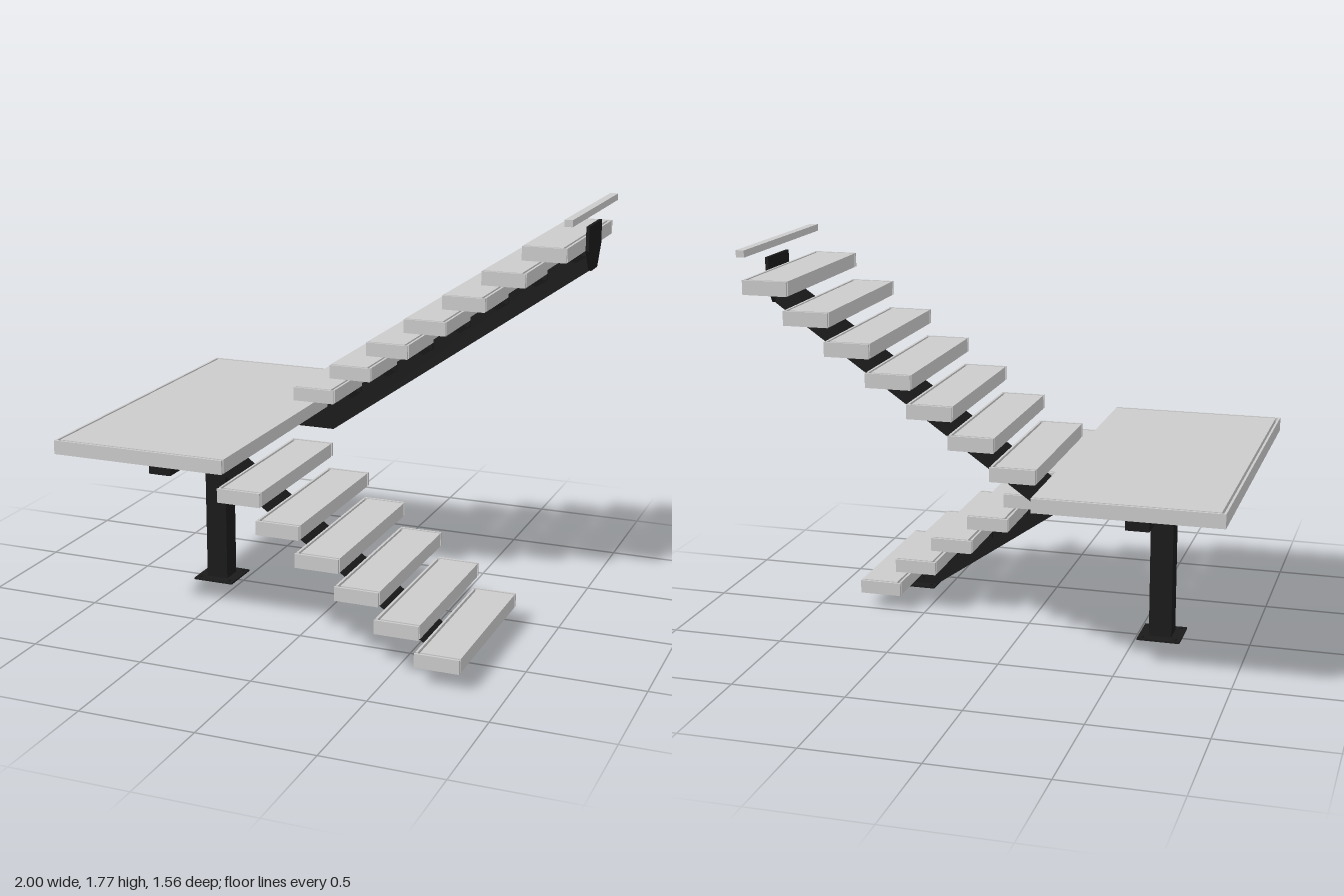
import * as THREE from 'three';

const board = new THREE.MeshStandardMaterial({ color: 0xcccccc });
const steel = new THREE.MeshStandardMaterial({ color: 0x1a1a1a });
const RISE = 0.117, GOING = 0.1715, THICK = 0.06;

// Box given by its minimum and maximum corners
function box(parent, name, mat, [x0, y0, z0], [x1, y1, z1]) {
  const m = new THREE.Mesh(new THREE.BoxGeometry(x1 - x0, y1 - y0, z1 - z0), mat);
  m.position.set((x0 + x1) / 2, (y0 + y1) / 2, (z0 + z1) / 2);
  m.name = name;
  parent.add(m);
  return m;
}

// Side outline extruded to a width centred on z
function profile(parent, name, points, width, z) {
  const shape = new THREE.Shape(points.map(([x, y]) => new THREE.Vector2(x, y)));
  const geo = new THREE.ExtrudeGeometry(shape, { depth: width, bevelEnabled: false });
  geo.translate(0, 0, -width / 2);
  const m = new THREE.Mesh(geo, steel);
  m.position.z = z;
  m.name = name;
  parent.add(m);
  return m;
}

// Tread with separate edge trims; dir points from the nosing to the back
function tread(parent, front, y, z0, dir) {
  const g = new THREE.Group();
  g.name = 'tread';
  const slab = (name, a, b, za, zb) => box(g, name, board,
    [Math.min(front + dir * a, front + dir * b), y, za],
    [Math.max(front + dir * a, front + dir * b), y + THICK, zb]);
  slab('treadBoard', 0, 0.17, z0 + 0.02, z0 + 0.76);
  slab('backTrim', 0.18, 0.19, z0 + 0.02, z0 + 0.76);
  slab('endTrim', 0, 0.19, z0, z0 + 0.01);
  slab('endTrim', 0, 0.19, z0 + 0.77, z0 + 0.78);
  parent.add(g);
}

// Wedge under a tread, narrowing down to the beam
function bracket(parent, front, y, z, dir) {
  const pts = [[0.07, 0], [0.13, -0.07], [0.19, -0.03], [0.19, 0]];
  const m = profile(parent, 'treadBracket', pts.map(([x, h]) => [front + dir * x, y + h]), 0.115, z);
  const p = m.geometry.attributes.position;
  for (let i = 0; i < p.count; i++) {
    if (p.getY(i) < y - 0.05) p.setZ(i, p.getZ(i) * 0.78);
  }
  m.geometry.computeVertexNormals();
}

function flight(name, count, front, y, z0, dir) {
  const g = new THREE.Group();
  g.name = name;
  for (let i = 0; i < count; i++) {
    const f = front + dir * GOING * i, h = y + RISE * i;
    tread(g, f, h, z0, dir);
    bracket(g, f, h, z0 + 0.39, dir);
  }
  return g;
}

// Square plate with four bolt heads
function boltPlate(parent, name, x, y, z, size, thick, boltY) {
  const h = size / 2;
  box(parent, name, steel, [x - h, y, z - h], [x + h, y + thick, z + h]);
  for (const sx of [-1, 1]) for (const sz of [-1, 1]) {
    const b = new THREE.Mesh(new THREE.CylinderGeometry(0.008, 0.008, 0.01, 6), steel);
    b.position.set(x + sx * (h - 0.022), boltY, z + sz * (h - 0.022));
    b.name = 'bolt';
    parent.add(b);
  }
}

export function createModel() {
  const model = new THREE.Group();
  model.name = 'staircase';

  // Two flights
  model.add(flight('lowerFlight', 6, 0.805, 0.06, 0, -1));
  model.add(flight('upperFlight', 7, -0.24, 0.88, -0.78, 1));

  // Landing with trims on three sides
  const landing = new THREE.Group();
  landing.name = 'landing';
  box(landing, 'landingBoard', board, [-0.98, 0.765, -0.76], [-0.22, 0.825, 0.76]);
  box(landing, 'landingBackTrim', board, [-1, 0.765, -0.78], [-0.99, 0.825, 0.78]);
  for (const s of [-0.775, 0.775]) {
    box(landing, 'landingSideTrim', board, [-0.99, 0.765, s - 0.005], [-0.22, 0.825, s + 0.005]);
  }
  model.add(landing);

  // Edge strip of the upper floor
  box(model, 'topEdgeStrip', board, [0.965, 1.733, -0.78], [1, 1.762, 0]);

  // Central beams under each flight
  profile(model, 'lowerBeam', [[-0.62, 0.66], [-0.4, 0.66], [0.55, 0.008], [0.7, 0.008],
    [-0.38, 0.755], [-0.62, 0.755]], 0.095, 0.39);
  profile(model, 'upperBeam', [[-0.62, 0.66], [-0.19, 0.66], [0.988, 1.49], [0.988, 1.605],
    [-0.25, 0.755], [-0.62, 0.755]], 0.095, -0.39);

  // Tapered wall plate at the top of the upper beam
  const plate = profile(model, 'wallPlate', [[-0.108, 1.69], [-0.108, 1.585], [-0.05, 1.492],
    [0.05, 1.492], [0.108, 1.585], [0.108, 1.69]], 0.014, -0.39);
  plate.rotation.y = Math.PI / 2;
  plate.position.x = 0.993;

  // Cross beam, post and fixing plates
  box(model, 'crossBeam', steel, [-0.66, 0.66, -0.58], [-0.56, 0.755, 0.58]);
  box(model, 'post', steel, [-0.66, 0.005, -0.048], [-0.56, 0.66, 0.048]);
  boltPlate(model, 'postFoot', -0.61, 0, 0, 0.19, 0.008, 0.01);
  boltPlate(model, 'beamFoot', 0.645, 0, 0.39, 0.19, 0.008, 0.01);
  for (const z of [-0.39, 0, 0.39]) boltPlate(model, 'landingPlate', -0.61, 0.755, z, 0.19, 0.01, 0.753);
  for (const z of [-0.39, 0.39]) boltPlate(model, 'landingPlate', -0.35, 0.755, z, 0.19, 0.01, 0.753);

  return model;
}
